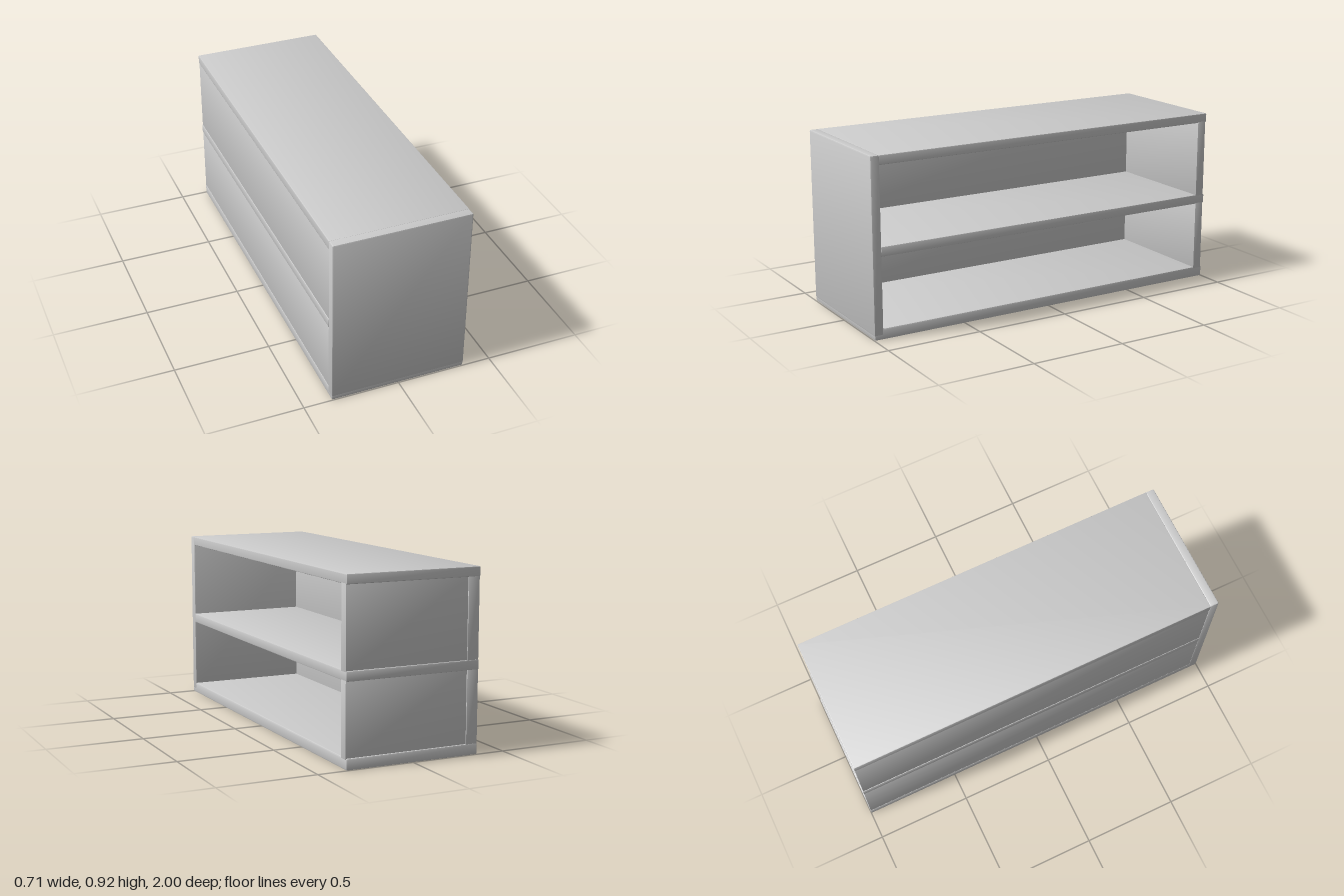
import * as THREE from 'three';
import { RoundedBoxGeometry } from 'three/addons/geometries/RoundedBoxGeometry.js';
import { toCreasedNormals } from 'three/addons/utils/BufferGeometryUtils.js';

const material = new THREE.MeshStandardMaterial({ color: 0xcccccc });

// Board with slightly eased edges, given by its [min, max] on each axis
function board(name, [x0, x1], [y0, y1], [z0, z1], ease = 0.004) {
  const geometry = toCreasedNormals(
    new RoundedBoxGeometry(x1 - x0, y1 - y0, z1 - z0, 1, ease), 0.4);
  const mesh = new THREE.Mesh(geometry, material);
  mesh.name = name;
  mesh.position.set((x0 + x1) / 2, (y0 + y1) / 2, (z0 + z1) / 2);
  return mesh;
}

export function createModel() {
  const group = new THREE.Group();
  group.name = 'shelfUnit';
  const depth = [-0.355, 0.355];

  // Horizontal boards
  group.add(
    board('topBoard', depth, [0.867, 0.915], [-1, 0.955]),
    board('middleShelf', depth, [0.418, 0.467], [-1, 0.955]),
    board('bottomBoard', [-0.354, 0.354], [0, 0.056], [-1, 0.998], 0.006));

  // Full-height end wall
  group.add(board('frontEndWall', depth, [0.022, 0.915], [0.952, 1], 0.006));

  // Per compartment: inset end panel and closed back, fitted between the boards
  for (const [level, y] of [['lower', [0.05, 0.424]], ['upper', [0.461, 0.873]]]) {
    group.add(
      board(level + 'EndPanel', [-0.3, 0.355], y, [-0.993, -0.945], 0.001),
      board(level + 'BackPanel', [-0.352, -0.292], y, [-0.998, 0.955], 0.001));
  }
  return group;
}
